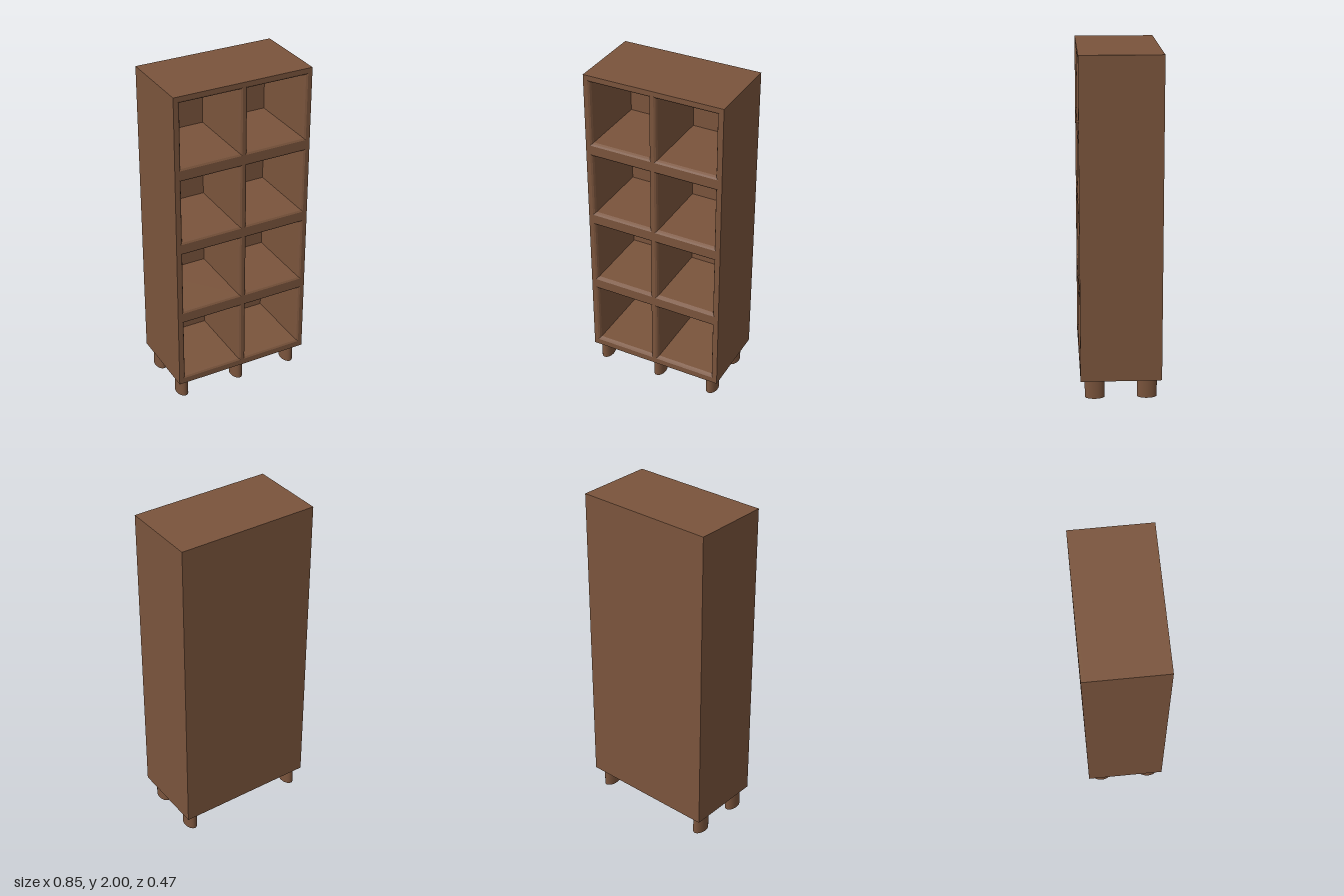
import * as THREE from 'three';

const W = 0.425, Y0 = 0.12, Y1 = 2, D = 0.235;   // cabinet extents
const BACK = 0.02, BEVEL = 0.018;                // back panel and bevel depth
const LIP = 0.016;                               // how far the openings flare

const wood = new THREE.MeshStandardMaterial({ color: 0x7a543c });

function add(parent, name, geometry) {
  const mesh = new THREE.Mesh(geometry, wood);
  mesh.name = name;
  parent.add(mesh);
  return mesh;
}

// Corners of a rectangle, counter-clockwise from the front
const corners = ([x0, y0, x1, y1], grow = 0) => [
  [x0 - grow, y0 - grow], [x1 + grow, y0 - grow],
  [x1 + grow, y1 + grow], [x0 - grow, y1 + grow],
];
const toPoints = (list) => list.map(([x, y]) => new THREE.Vector2(x, y));

// Board spanning the whole front, pierced by the eight openings
function piercedBoard(openings, grow, z0, z1) {
  const shape = new THREE.Shape(toPoints(corners([-W, Y0, W, Y1])));
  for (const o of openings) shape.holes.push(new THREE.Path(toPoints(corners(o, grow).reverse())));
  const geometry = new THREE.ExtrudeGeometry(shape, { depth: z1 - z0, bevelEnabled: false });
  return geometry.translate(0, 0, z0);
}

// Sloped moulding from the flared front edge in to the opening
function moulding(opening) {
  const steps = [[LIP, D], [LIP * 0.4, D - BEVEL * 0.35], [0, D - BEVEL]];
  const loops = steps.map(([grow, z]) => corners(opening, grow).map(([x, y]) => [x, y, z]));
  const position = [];
  for (let s = 0; s < steps.length - 1; s++) {
    for (let i = 0; i < 4; i++) {
      const j = (i + 1) % 4;
      const a = loops[s][i], b = loops[s][j], c = loops[s + 1][j], d = loops[s + 1][i];
      position.push(...a, ...b, ...c, ...a, ...c, ...d);
    }
  }
  const geometry = new THREE.BufferGeometry();
  geometry.setAttribute('position', new THREE.Float32BufferAttribute(position, 3));
  geometry.computeVertexNormals();
  return geometry;
}

export function createModel() {
  const model = new THREE.Group();
  model.name = 'cubbyCabinet';

  // Two columns and four rows of cubbies
  const openings = [];
  for (let row = 0; row < 4; row++) {
    const y = 0.172 + row * 0.468;
    openings.push([-0.383, y, -0.025, y + 0.38], [0.025, y, 0.383, y + 0.38]);
  }

  // Cabinet body
  add(model, 'carcass', piercedBoard(openings, 0, -D + BACK, D - BEVEL));
  add(model, 'frontFrame', piercedBoard(openings, LIP, D - BEVEL, D));
  add(model, 'backPanel', new THREE.BoxGeometry(2 * W, Y1 - Y0, BACK))
    .position.set(0, (Y0 + Y1) / 2, -D + BACK / 2);

  // Mouldings around the openings
  const mouldings = new THREE.Group();
  mouldings.name = 'mouldings';
  model.add(mouldings);
  openings.forEach((o, i) => add(mouldings, `moulding${i + 1}`, moulding(o)));

  // Oval legs: three at the front, two at the back
  const legs = new THREE.Group();
  legs.name = 'legs';
  model.add(legs);
  const legGeometry = new THREE.CylinderGeometry(1, 1, Y0, 32).scale(0.035, 1, 0.058);
  const legSpots = [
    ['frontRightLeg', -0.374, 0.152], ['frontMiddleLeg', 0, 0.152], ['frontLeftLeg', 0.36, 0.152],
    ['backRightLeg', -0.372, -0.152], ['backLeftLeg', 0.362, -0.152],
  ];
  for (const [name, x, z] of legSpots) add(legs, name, legGeometry).position.set(x, Y0 / 2, z);

  return model;
}
